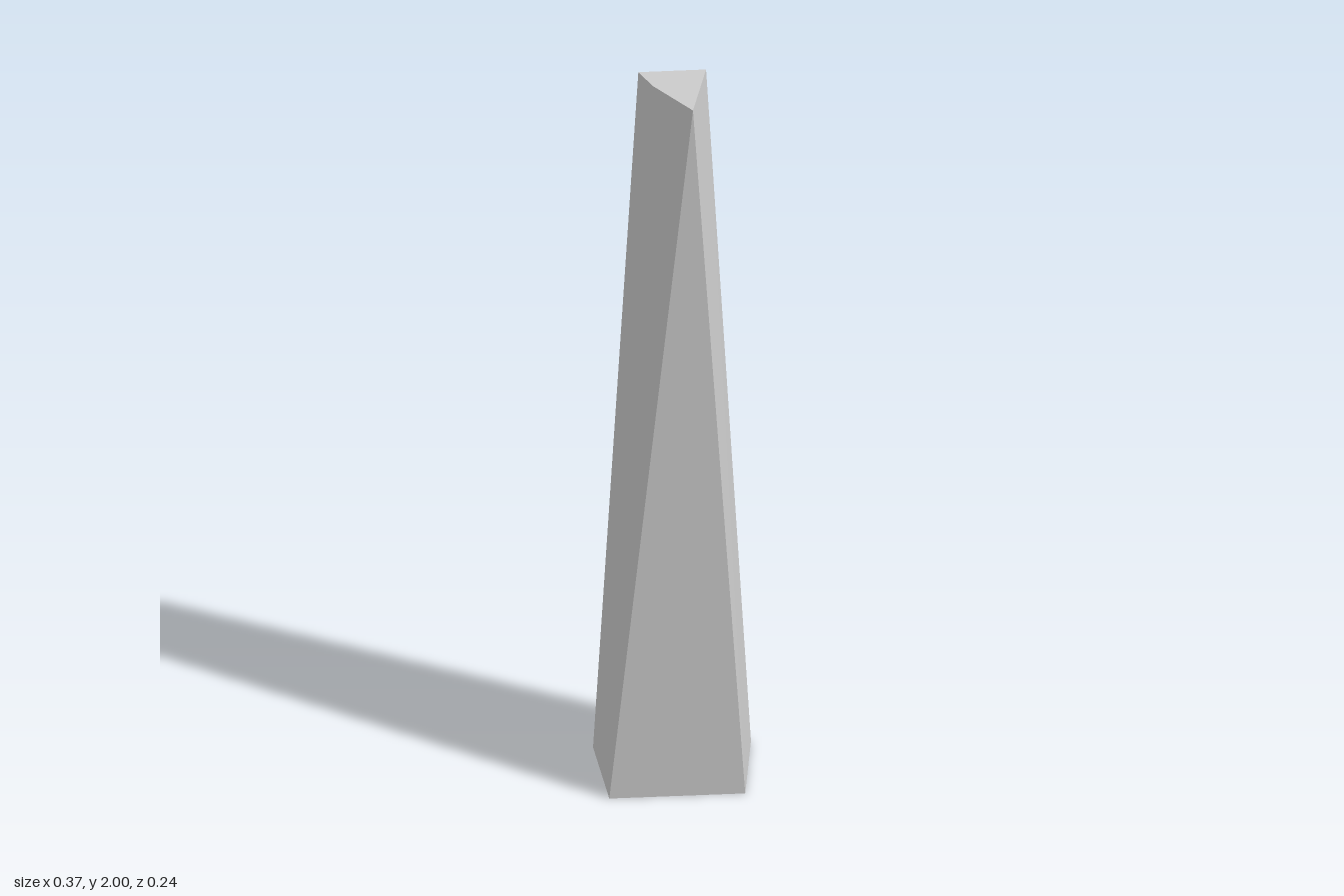
import * as THREE from 'three';

// Corners of the two end sections as [x, z], in the order
// back right, back left, front left, front right
const FOOT = [[-0.183, -0.073], [0.183, -0.122], [0.183, 0.078], [-0.132, 0.119]];
const TIP = [[-0.077, -0.072], [0.08, -0.093], [0.06, 0.065], [-0.04, -0.022]];
const HEIGHT = 2;

export function createModel() {
  const group = new THREE.Group();
  group.name = 'taperedShard';

  const corners = [
    ...FOOT.map(([x, z]) => [x, 0, z]),
    ...TIP.map(([x, z]) => [x, HEIGHT, z]),
  ];
  const faces = [
    [0, 1, 2], [0, 2, 3], // foot
    [7, 6, 5], [7, 5, 4], // tip
    [3, 2, 6], [3, 6, 7], // front, folded along its diagonal
    [2, 1, 5], [2, 5, 6], // left side
    [1, 0, 4], [1, 4, 5], // back
    [0, 3, 7], [0, 7, 4], // right side
  ];

  // Unshared corners keep every facet flat
  const points = faces.flat().flatMap((i) => corners[i]);
  const geometry = new THREE.BufferGeometry();
  geometry.setAttribute('position', new THREE.Float32BufferAttribute(points, 3));
  geometry.computeVertexNormals();

  const shard = new THREE.Mesh(
    geometry,
    new THREE.MeshStandardMaterial({ color: 0xcccccc, flatShading: true }),
  );
  shard.name = 'shard';
  group.add(shard);
  return group;
}
